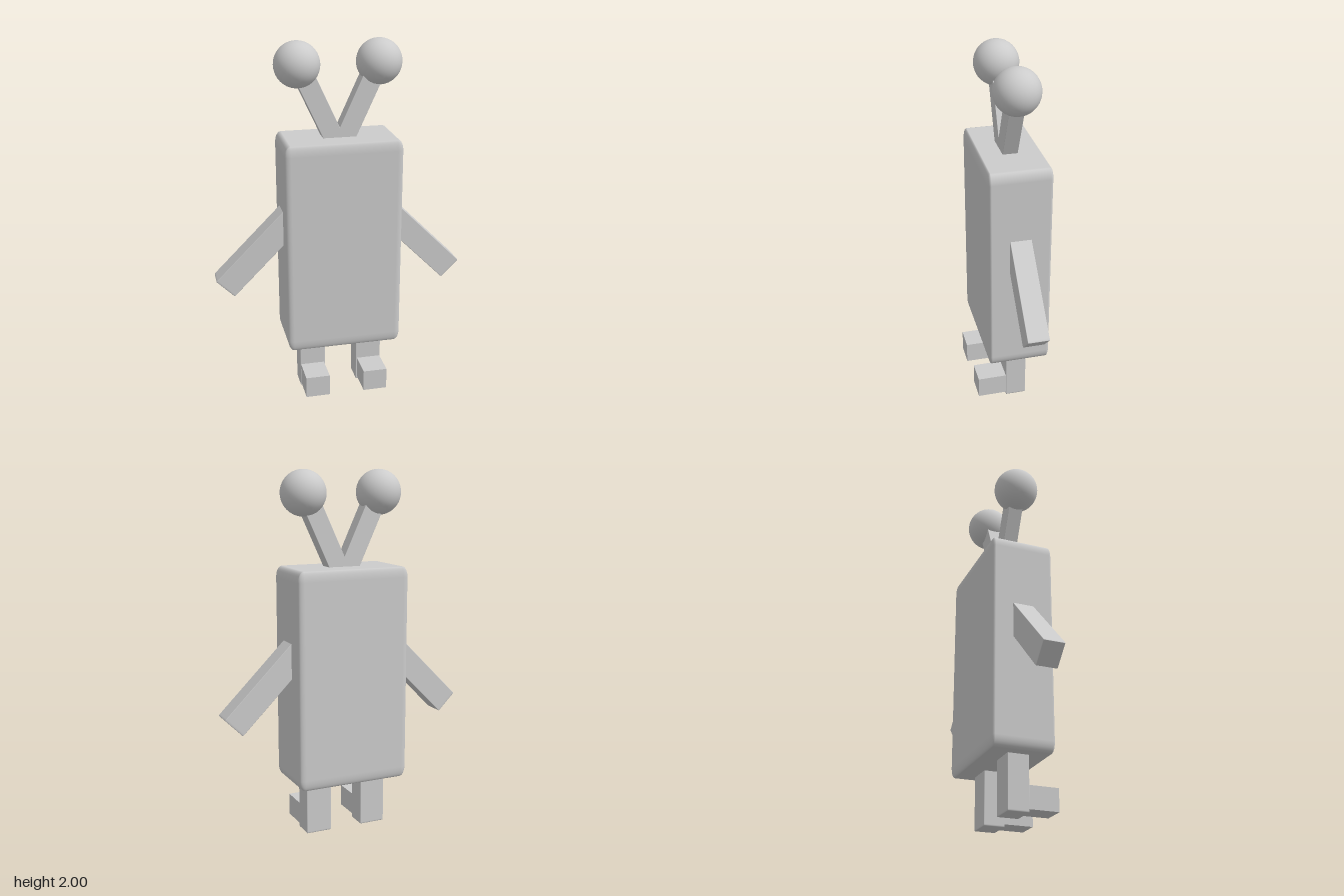
import * as THREE from 'three';
import { RoundedBoxGeometry } from 'three/addons/geometries/RoundedBoxGeometry.js';

const material = new THREE.MeshStandardMaterial({ color: 0xcccccc });

function add(parent, name, geometry, x, y, z, tilt = 0) {
  const mesh = new THREE.Mesh(geometry, material);
  mesh.name = name;
  mesh.position.set(x, y, z);
  mesh.rotation.z = tilt;
  parent.add(mesh);
  return mesh;
}

// Box whose bevel is stretched in proportion to each side
function softBox(w, h, d, bevel) {
  return new RoundedBoxGeometry(1, 1, 1, 3, bevel).scale(w, h, d);
}

export function createModel() {
  const model = new THREE.Group();
  model.name = 'antennaFigure';

  // Tall slab body
  add(model, 'body', softBox(0.64, 1.19, 0.345, 0.05), 0, 0.89, -0.022);

  for (const [side, s] of [['left', 1], ['right', -1]]) {
    // Leg with a block foot in front
    add(model, side + 'Leg', softBox(0.146, 0.36, 0.116, 0.025), s * 0.165, 0.183, -0.022);
    add(model, side + 'Foot', new THREE.BoxGeometry(0.135, 0.122, 0.2), s * 0.167, 0.081, 0.097);

    // Arm slanting down and outward
    add(model, side + 'Arm', softBox(0.138, 0.6, 0.116, 0.02), s * 0.436, 0.877, -0.022, s * Math.PI / 4);

    // Antenna stalk with its ball
    add(model, side + 'Stalk', softBox(0.105, 0.46, 0.082, 0.02), s * 0.107, 1.645, -0.02, -s * 0.433);
    add(model, side + 'Ball', new THREE.SphereGeometry(0.123, 32, 20), s * 0.221, 1.877, -0.02);
  }

  return model;
}
